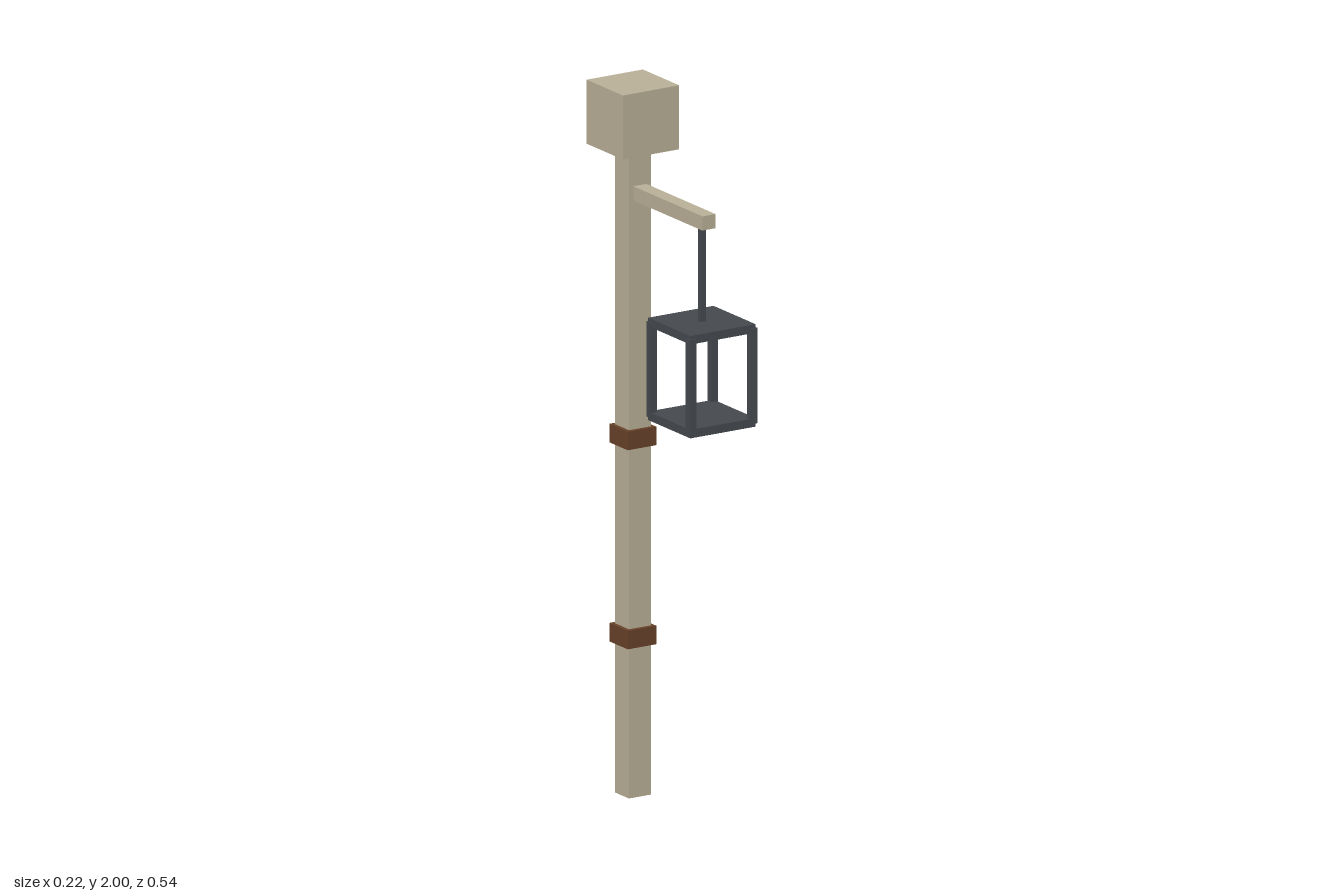
import * as THREE from 'three';

export function createModel() {
  const model = new THREE.Group();
  model.name = 'lanternPost';

  const material = (name, color) => {
    const m = new THREE.MeshStandardMaterial({ color });
    m.name = name;
    return m;
  };
  const wood = material('pale wood', 0xbcb299);
  const iron = material('dark iron', 0x464a4f);
  const leather = material('brown binding', 0x6a432a);

  // Box given by its size and centre
  const box = (parent, name, mat, [w, h, d], [x, y, z]) => {
    const mesh = new THREE.Mesh(new THREE.BoxGeometry(w, h, d), mat);
    mesh.name = name;
    mesh.position.set(x, y, z);
    parent.add(mesh);
  };

  // Post with cap block and bracket arm
  const postZ = -0.182;
  box(model, 'post', wood, [0.07, 1.82, 0.07], [0, 0.91, postZ]);
  box(model, 'cap', wood, [0.181, 0.18, 0.181], [0, 1.91, postZ]);
  box(model, 'arm', wood, [0.042, 0.04, 0.347], [0, 1.7, 0.0235]);

  // Bindings around the post
  for (const y of [0.45, 1.01]) {
    box(model, 'binding', leather, [0.092, 0.052, 0.092], [0, y, postZ]);
  }

  // Hanging lantern: rod, two plates and four corner bars
  const lantern = new THREE.Group();
  lantern.name = 'lantern';
  lantern.position.set(0, 0, 0.162);
  model.add(lantern);
  box(lantern, 'hangingRod', iron, [0.016, 0.27, 0.016], [0, 1.547, 0]);
  box(lantern, 'roofPlate', iron, [0.21, 0.024, 0.21], [0, 1.402, 0]);
  box(lantern, 'floorPlate', iron, [0.21, 0.024, 0.21], [0, 1.138, 0]);
  for (const x of [-0.098, 0.098]) {
    for (const z of [-0.098, 0.098]) {
      box(lantern, 'cornerBar', iron, [0.021, 0.268, 0.021], [x, 1.27, z]);
    }
  }

  return model;
}
